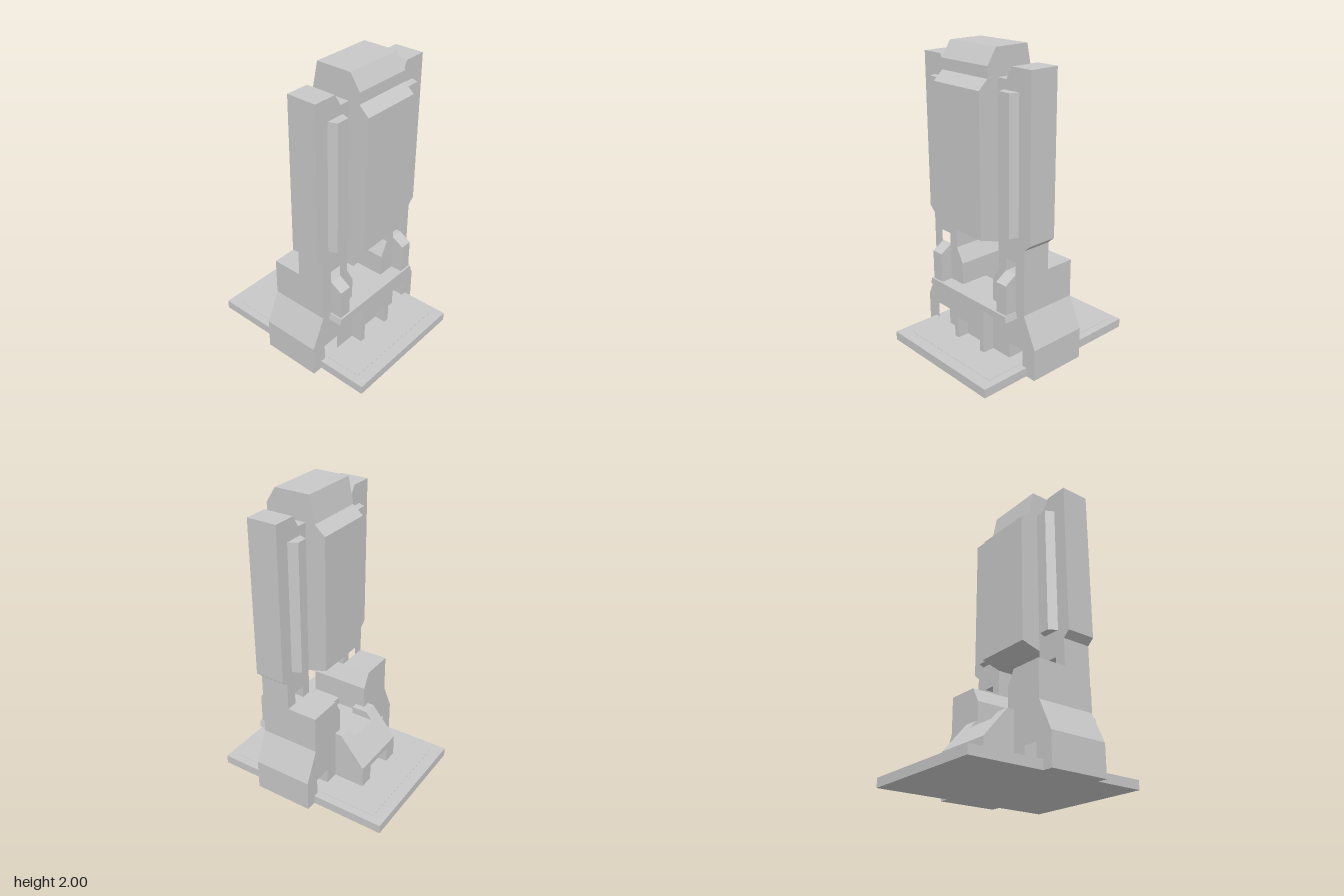
import * as THREE from 'three';

const grey = new THREE.MeshStandardMaterial({ color: 0xc8c8c8 });
grey.name = 'grey plastic';

const rect = (x0, x1, y0, y1) => [[x0, y0], [x1, y0], [x1, y1], [x0, y1]];
const flip = (pts, s) => pts.map(([x, y]) => [x * s, y]);
const vectors = (pts) => pts.map(([x, y]) => new THREE.Vector2(x, y));

export function createModel() {
  const model = new THREE.Group();
  model.name = 'uprightFrame';

  const add = (name, geometry) => {
    const mesh = new THREE.Mesh(geometry, grey);
    mesh.name = name;
    model.add(mesh);
  };
  const box = (name, x0, x1, y0, y1, z0, z1) => {
    const g = new THREE.BoxGeometry(x1 - x0, y1 - y0, z1 - z0);
    add(name, g.translate((x0 + x1) / 2, (y0 + y1) / 2, (z0 + z1) / 2));
  };
  // Outline in x, y pushed along z
  const frontProfile = (name, pts, z0, z1, holes = []) => {
    const shape = new THREE.Shape(vectors(pts));
    holes.forEach((h) => shape.holes.push(new THREE.Path(vectors(h))));
    const g = new THREE.ExtrudeGeometry(shape, { depth: z1 - z0, bevelEnabled: false });
    add(name, g.translate(0, 0, z0));
  };
  // Outline in z, y pushed along x
  const sideProfile = (name, pts, x0, x1) => {
    const g = new THREE.ExtrudeGeometry(new THREE.Shape(vectors(pts)), { depth: x1 - x0, bevelEnabled: false });
    add(name, g.rotateY(-Math.PI / 2).translate(x1, 0, 0));
  };
  // Outline in x, z pushed along y
  const planProfile = (name, pts, y0, y1) => {
    const shape = new THREE.Shape(vectors(pts.map(([x, z]) => [x, -z])));
    const g = new THREE.ExtrudeGeometry(shape, { depth: y1 - y0, bevelEnabled: false });
    add(name, g.rotateX(-Math.PI / 2).translate(0, y0, 0));
  };

  // Base
  box('basePlate', -0.455, 0.455, 0, 0.06, -0.62, 0.62);
  box('baseInlay', -0.4, 0.4, 0.058, 0.062, -0.54, 0.54);

  // Central panel with bevelled ends
  sideProfile('centrePanel', [
    [0.28, 0.83], [0.42, 0.875], [0.42, 1.77], [0.355, 1.83], [0.355, 1.9], [0.29, 2],
    [0.05, 2], [0.015, 1.83], [-0.055, 1.77], [-0.055, 0.87], [0.08, 0.83],
  ], -0.205, 0.203);

  for (const [s, side] of [[1, 'left'], [-1, 'right']]) {
    const foot = rect(0.3, 0.42, 0.06, 0.17);
    // Tall upright with window and foot arch
    frontProfile(side + 'Upright', flip([
      [0.15, 0], [0.525, 0], [0.525, 0.21], [0.43, 0.41], [0.43, 0.84], [0.475, 0.88], [0.475, 1.905],
      [0.32, 1.905], [0.275, 1.83], [0.2, 1.83], [0.205, 0.66], [0.15, 0.56],
    ], s), 0.08, 0.28, [flip(foot, s), flip(rect(0.27, 0.355, 0.66, 0.74), s)]);
    // Shorter buttress behind it
    frontProfile(side + 'Buttress', flip([
      [0.15, 0], [0.525, 0], [0.525, 0.21], [0.43, 0.41], [0.43, 0.66], [0.205, 0.66], [0.15, 0.56],
    ], s), -0.125, 0.08, [flip(foot, s)]);
    // Bevelled ribs on both faces
    planProfile(side + 'FrontRib', flip([[0.255, 0.27], [0.38, 0.27], [0.38, 0.28], [0.358, 0.335], [0.275, 0.335], [0.255, 0.28]], s), 0.91, 1.77);
    planProfile(side + 'BackRib', flip([[0.255, 0.09], [0.38, 0.09], [0.38, 0.08], [0.35, 0.025], [0.28, 0.025], [0.255, 0.08]], s), 0.91, 1.77);
    // Front lug above the ledge
    const x = s > 0 ? [0.27, 0.355] : [-0.355, -0.27];
    sideProfile(side + 'Lug', [[0.27, 0.4], [0.36, 0.4], [0.36, 0.61], [0.28, 0.66], [0.27, 0.66]], ...x);
    // Cheek of the rear ramp
    const r = s > 0 ? [0.107, 0.205] : [-0.205, -0.107];
    sideProfile(side + 'RampCheek', [[-0.06, 0.05], [-0.06, 0.41], [-0.17, 0.41], [-0.34, 0.21], [-0.34, 0.05]], ...r);
    // Side wall of the front socket
    const w = s > 0 ? [0.108, 0.145] : [-0.145, -0.108];
    box(side + 'SocketWall', ...w, 0.05, 0.38, 0.27, 0.36);
  }

  // Cross members
  box('crossbar', -0.16, 0.16, 0.05, 0.41, 0.08, 0.28);
  box('grooveFloor', -0.16, 0.16, 0.05, 0.36, -0.07, 0.09);
  sideProfile('rampCentre', [
    [-0.05, 0.05], [-0.05, 0.36], [-0.212, 0.36], [-0.34, 0.21], [-0.34, 0.17], [-0.26, 0.17], [-0.26, 0.05],
  ], -0.107, 0.107);

  // Front ledge and socket hood
  frontProfile('frontLedge', [[-0.375, 0.37], [0.37, 0.37], [0.36, 0.412], [-0.365, 0.412]], 0.27, 0.373);
  sideProfile('socketHood', [[0.27, 0.17], [0.36, 0.21], [0.36, 0.38], [0.27, 0.38]], -0.108, 0.108);

  return model;
}
